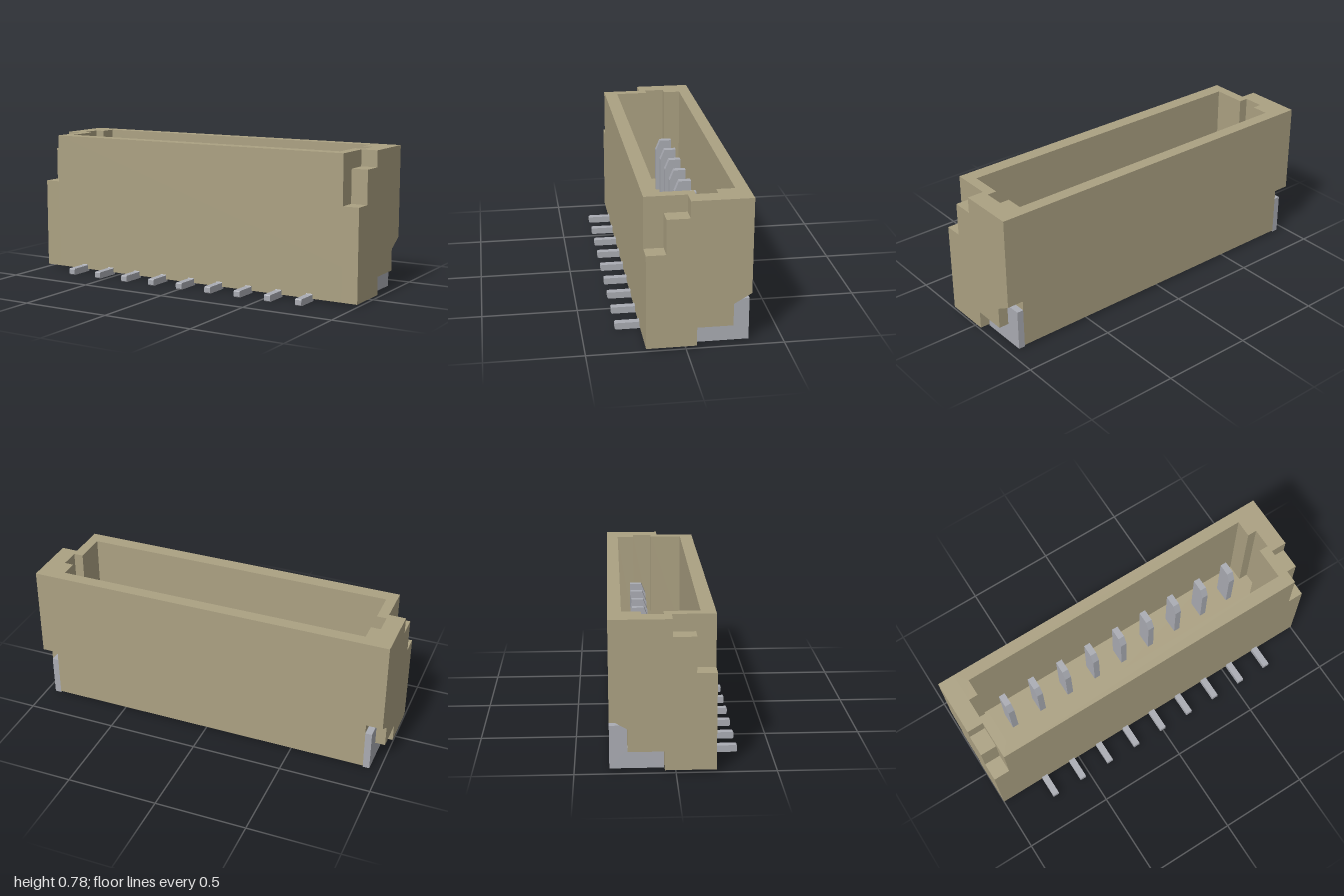
import * as THREE from 'three';

// Polygon from point pairs
const poly = (pts) => new THREE.Shape(pts.map(([a, b]) => new THREE.Vector2(a, b)));

// Side profile given as [z, y], extruded along x from x0 to x1
function sideExtrude(pts, x0, x1) {
  const g = new THREE.ExtrudeGeometry(poly(pts.map(([z, y]) => [-z, y])), { depth: x1 - x0, bevelEnabled: false });
  return g.rotateY(Math.PI / 2).translate(x0, 0, 0);
}

// Plan shape drawn as [x, -z], extruded upward from y0 to y1
function planExtrude(shape, y0, y1) {
  const g = new THREE.ExtrudeGeometry(shape, { depth: y1 - y0, bevelEnabled: false });
  return g.rotateX(-Math.PI / 2).translate(0, y0, 0);
}

export function createModel() {
  const plastic = new THREE.MeshStandardMaterial({ color: 0xaba182 });
  plastic.name = 'beige plastic';
  const metal = new THREE.MeshStandardMaterial({ color: 0xaaacb3 });
  metal.name = 'tin plated metal';

  const model = new THREE.Group();
  model.name = 'connectorHeader';
  const add = (name, geometry, material) => {
    const mesh = new THREE.Mesh(geometry, material);
    mesh.name = name;
    model.add(mesh);
  };

  const BACK = -0.327, FRONT = 0.2, BOTTOM = 0.015, TOP = 0.785, FLOOR = 0.2, CORE = 0.91;

  // Central housing: solid floor and walls round a cavity with keying slots at both ends
  const outline = () => poly([[-CORE, -FRONT], [CORE, -FRONT], [CORE, -BACK], [-CORE, -BACK]]);
  add('housingFloor', planExtrude(outline(), BOTTOM, FLOOR), plastic);
  const walls = outline();
  const half = [[0.855, -0.125], [0.855, 0.055], [0.907, 0.055], [0.907, 0.165], [0.855, 0.165], [0.855, 0.26]];
  const mirrored = half.map(([x, y]) => [-x, y]).reverse();
  walls.holes.push(poly([...half, ...mirrored]));
  add('housingWalls', planExtrude(walls, FLOOR, TOP), plastic);

  // End cheeks: stepped at the top front, cut out for the solder tab at the lower back
  const cheek = [
    [FRONT, BOTTOM], [-0.055, BOTTOM], [-0.055, 0.114], [-0.237, 0.114], [-0.237, 0.232], [BACK, 0.285],
    [BACK, TOP], [-0.017, TOP], [-0.017, 0.697], [0.1, 0.697], [0.1, 0.515], [FRONT, 0.515],
  ];
  // L-shaped solder tabs
  const tab = [
    [-0.056, 0.007], [BACK, 0.007], [BACK, 0.232], [-0.238, 0.232], [-0.238, 0.113], [-0.056, 0.113],
  ];
  for (const [side, s] of [['left', 1], ['right', -1]]) {
    const span = (a, b) => (s > 0 ? [a, b] : [-b, -a]);
    add(side + 'Cheek', sideExtrude(cheek, ...span(CORE, 1)), plastic);
    add(side + 'SolderTab', sideExtrude(tab, ...span(CORE, 0.946)), metal);
  }

  // Nine contacts: a pin with a sloped tip in the cavity and a lead foot at the front
  const pin = [[-0.095, 0.18], [-0.095, 0.46], [-0.12, 0.52], [-0.188, 0.52], [-0.188, 0.18]];
  const foot = [
    [0.185, 0.004], [0.19, 0.001], [0.322, 0.001], [0.327, 0.006], [0.327, 0.032], [0.322, 0.037],
    [0.205, 0.037], [0.198, 0.043], [0.185, 0.043],
  ];
  for (let i = -4; i <= 4; i++) {
    const x = i * 0.182;
    add('contactPin', sideExtrude(pin, x - 0.018, x + 0.018), metal);
    add('leadFoot', sideExtrude(foot, x - 0.018, x + 0.018), metal);
  }
  return model;
}
